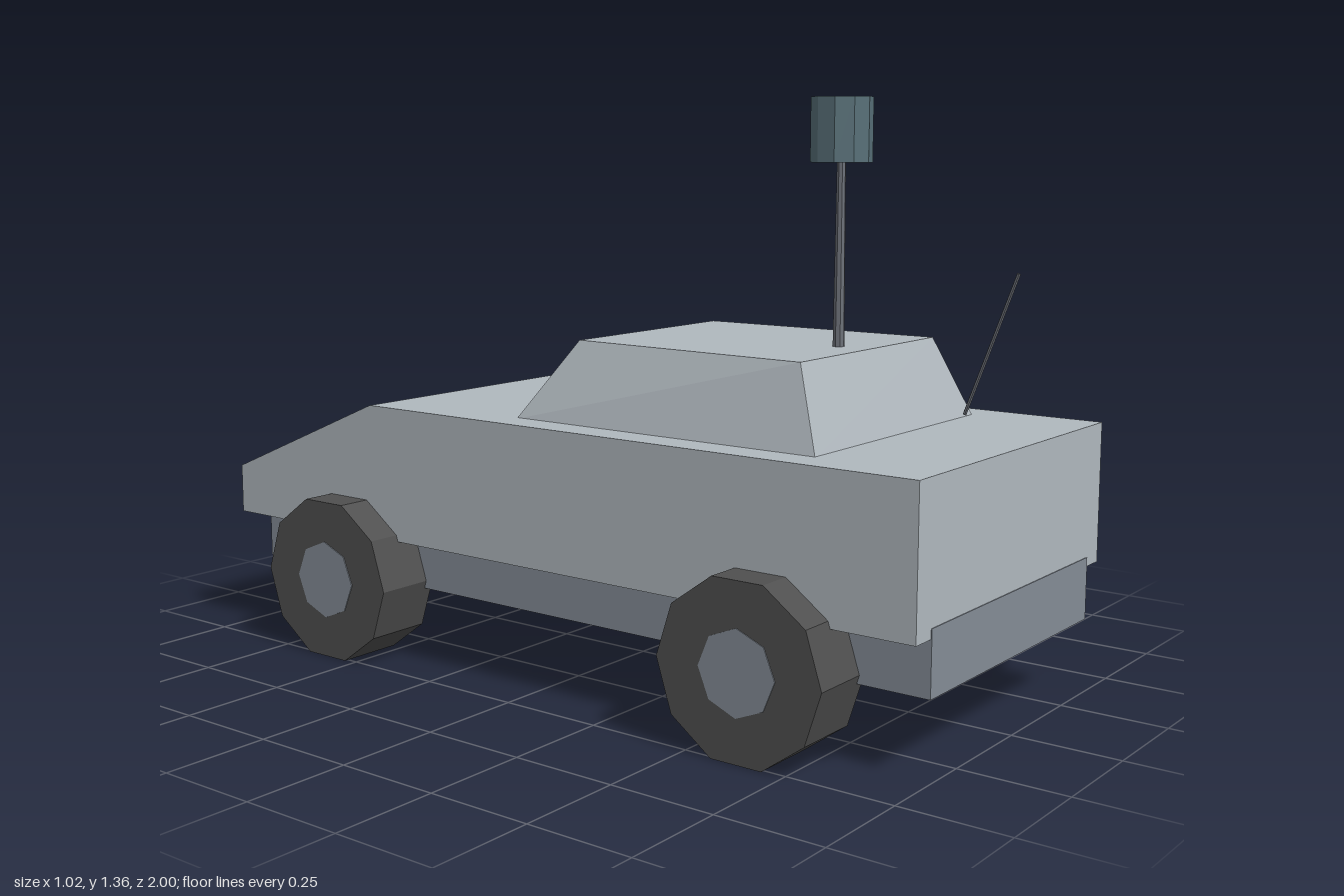
import * as THREE from 'three';

const mat = (name, color) => {
  const m = new THREE.MeshStandardMaterial({ color, flatShading: true });
  m.name = name;
  return m;
};

export function createModel() {
  const group = new THREE.Group();
  const paint = mat('body grey', 0xb0b8be);
  const steel = mat('steel grey', 0x848c96);
  const rubber = mat('tyre black', 0x4f4f4f);
  const metal = mat('mast grey', 0x6c7078);
  const teal = mat('sensor teal', 0x587078);

  const add = (name, geometry, material, x = 0, y = 0, z = 0) => {
    const mesh = new THREE.Mesh(geometry, material);
    mesh.name = name;
    mesh.position.set(x, y, z);
    group.add(mesh);
    return mesh;
  };

  // Hull: side profile (z, y) extruded across the width
  const profile = [[-0.998, 0.298], [0.998, 0.298], [0.998, 0.625], [-0.51, 0.625], [-0.998, 0.42]];
  const shape = new THREE.Shape(profile.map(([z, y]) => new THREE.Vector2(-z, y)));
  const hull = new THREE.ExtrudeGeometry(shape, { depth: 0.854, bevelEnabled: false });
  hull.translate(0, 0, -0.427).rotateY(Math.PI / 2);
  add('hull', hull, paint);

  // Chassis tray under the hull
  add('chassis', new THREE.BoxGeometry(0.734, 0.145, 1.96), steel, 0, 0.2475, 0.02);

  // Cabin: box with its top corners pulled in
  const cabin = new THREE.BoxGeometry(2, 1, 2);
  const p = cabin.attributes.position;
  for (let i = 0; i < p.count; i++) {
    const sx = Math.sign(p.getX(i)), top = p.getY(i) > 0, front = p.getZ(i) > 0;
    if (top) p.setXYZ(i, sx * (front ? 0.285 : 0.265), 0.808, front ? 0.635 : 0.02);
    else p.setXYZ(i, sx * 0.345, 0.622, front ? 0.712 : -0.105);
  }
  cabin.computeVertexNormals();
  add('cabin', cabin, paint);

  // Wheels with hubs showing on both faces
  const tyre = new THREE.CylinderGeometry(0.204, 0.204, 0.165, 10).rotateZ(Math.PI / 2);
  const hub = new THREE.CylinderGeometry(0.095, 0.095, 0.169, 8).rotateZ(Math.PI / 2);
  for (const [end, z] of [['front', 0.634], ['rear', -0.592]]) {
    for (const [side, x] of [['Left', 0.4275], ['Right', -0.4275]]) {
      add(`${end}${side}Tyre`, tyre, rubber, x, 0.194, z);
      add(`${end}${side}Hub`, hub, steel, x, 0.194, z);
    }
  }

  // Sensor mast and head on the roof
  add('mast', new THREE.CylinderGeometry(0.01, 0.0135, 0.42, 8), metal, 0, 1.015, 0.553);
  add('sensorHead', new THREE.CylinderGeometry(0.069, 0.069, 0.143, 10), teal, 0, 1.288, 0.553);

  // Leaning whip antenna
  const low = new THREE.Vector3(0.222, 0.645, 0.755), high = new THREE.Vector3(0.222, 0.972, 0.879);
  const whip = add('antenna', new THREE.CylinderGeometry(0.0045, 0.0045, low.distanceTo(high), 6), metal);
  whip.position.lerpVectors(low, high, 0.5);
  whip.quaternion.setFromUnitVectors(new THREE.Vector3(0, 1, 0), high.clone().sub(low).normalize());

  return group;
}
